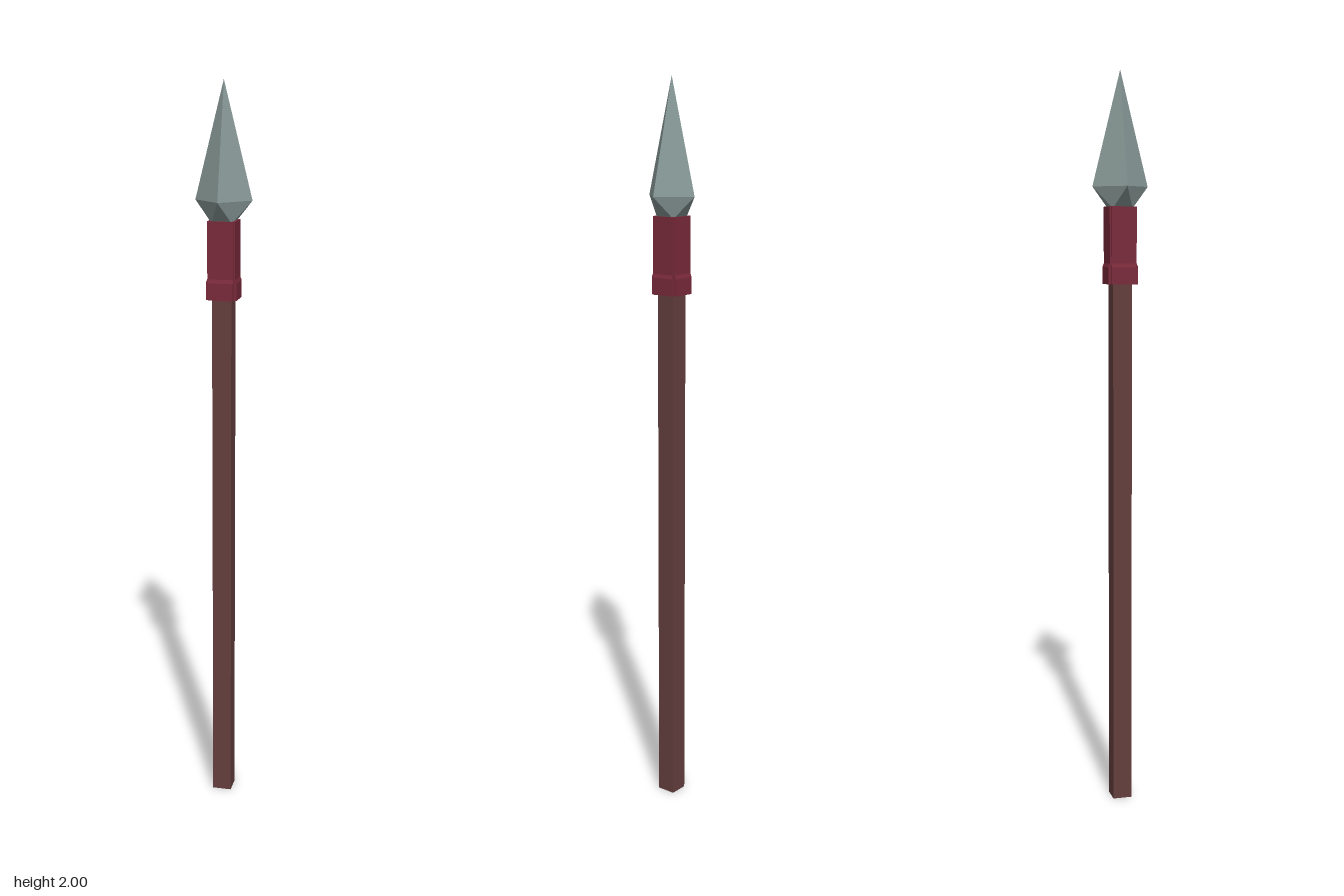
import * as THREE from 'three';

const material = (name, color) => {
  const m = new THREE.MeshStandardMaterial({ color });
  m.name = name;
  m.flatShading = true;
  return m;
};

function add(parent, name, geometry, mat, y = 0) {
  const mesh = new THREE.Mesh(geometry, mat);
  mesh.name = name;
  mesh.position.y = y;
  parent.add(mesh);
  return mesh;
}

// Facets joining the diamond-shaped blade ring to the square top of the shaft
function bladeBase(yTop, rTop, yBottom, half) {
  const ring = (i) => [rTop * Math.sin(i * Math.PI / 2), yTop, rTop * Math.cos(i * Math.PI / 2)];
  const corner = (i) => {
    const a = (i + 0.5) * Math.PI / 2;
    return [half * Math.SQRT2 * Math.sin(a), yBottom, half * Math.SQRT2 * Math.cos(a)];
  };
  const points = [];
  for (let i = 0; i < 4; i++) {
    points.push(...ring(i), ...corner(i - 1), ...corner(i));
    points.push(...ring(i), ...corner(i), ...ring(i + 1));
  }
  const g = new THREE.BufferGeometry();
  g.setAttribute('position', new THREE.Float32BufferAttribute(points, 3));
  g.computeVertexNormals();
  return g;
}

export function createModel() {
  const spear = new THREE.Group();
  spear.name = 'spear';
  const wood = material('dark wood', 0x643f3e);
  const red = material('red binding', 0x7a2a3b);
  const steel = material('grey steel', 0x889997);

  // Square shaft
  const shaftHeight = 1.645;
  add(spear, 'shaft', new THREE.BoxGeometry(0.052, shaftHeight, 0.052), wood, shaftHeight / 2);

  // Binding: a core with four raised plates that flare at the lower edge
  const binding = new THREE.Group();
  binding.name = 'binding';
  spear.add(binding);
  add(binding, 'bindingCore', new THREE.BoxGeometry(0.064, 0.2, 0.064), red, 1.542);
  const profile = new THREE.Shape([
    [0.026, 1.44], [0.041, 1.44], [0.041, 1.485], [0.037, 1.495], [0.037, 1.645], [0.026, 1.645],
  ].map(([x, y]) => new THREE.Vector2(x, y)));
  const plateWidth = 0.066;
  const plate = new THREE.ExtrudeGeometry(profile, { depth: plateWidth, bevelEnabled: false });
  plate.translate(0, 0, -plateWidth / 2);
  for (let i = 0; i < 4; i++) {
    add(binding, 'bindingPlate', plate, red).rotation.y = i * Math.PI / 2;
  }

  // Four-sided spearhead
  const head = new THREE.Group();
  head.name = 'spearhead';
  spear.add(head);
  add(head, 'bladePoint', new THREE.ConeGeometry(0.076, 0.303, 4, 1, true), steel, 1.8485);
  add(head, 'bladeBase', bladeBase(1.697, 0.076, 1.64, 0.027), steel);

  return spear;
}
